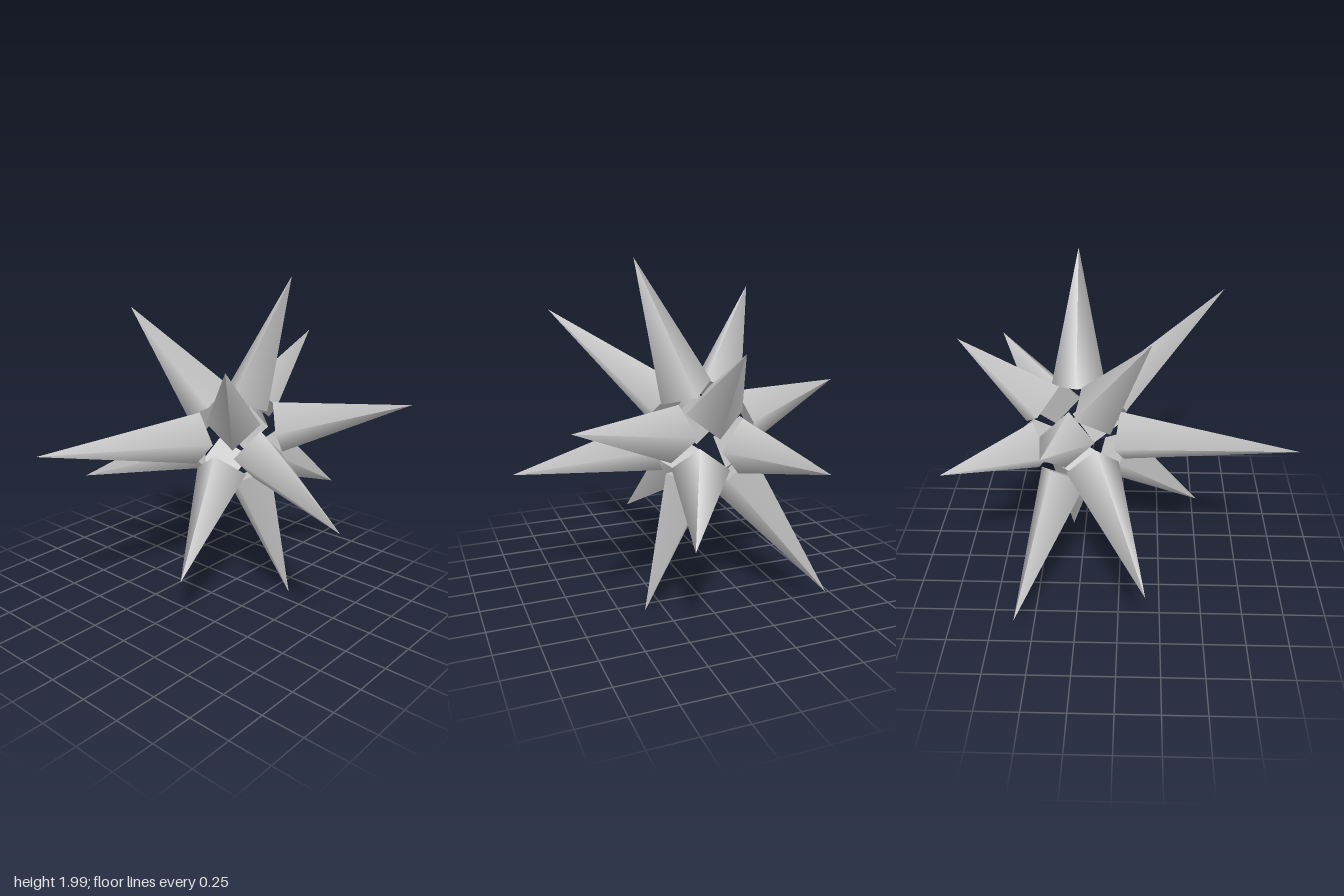
import * as THREE from 'three';

// Spike tip distances from the centre, ordered from top to bottom
const REACH = [1.07, 1.005, 0.885, 1.285, 0.81, 1.08, 1.295, 0.85, 1.12, 1.13, 0.83, 1.015, 1.18, 1.07];
const CENTRE = new THREE.Vector3(-0.025, 1.005, -0.247);
const BASE_DISTANCE = 0.27;
const BASE_RADIUS = 0.16;
const GOLDEN_ANGLE = Math.PI * (3 - Math.sqrt(5));

// Evenly spread directions on a sphere along a golden spiral
function spiralDirection(i, count) {
  const y = 1 - (2 * (i + 0.5)) / count;
  const r = Math.sqrt(1 - y * y);
  const angle = i * GOLDEN_ANGLE;
  return new THREE.Vector3(r * Math.cos(angle), y, r * Math.sin(angle));
}

// Four-sided, smooth-shaded spike: base at z = 0, tip along +z
function spikeGeometry(length) {
  const geometry = new THREE.ConeGeometry(BASE_RADIUS, length, 4);
  geometry.translate(0, length / 2, 0);
  geometry.rotateX(Math.PI / 2);
  return geometry;
}

export function createModel() {
  const model = new THREE.Group();
  model.name = 'spikeBurst';
  const material = new THREE.MeshStandardMaterial({ color: 0xcccccc });

  // Spikes radiating from an empty centre
  REACH.forEach((reach, i) => {
    const direction = spiralDirection(i, REACH.length);
    const spike = new THREE.Mesh(spikeGeometry(reach - BASE_DISTANCE), material);
    spike.name = `spike${i + 1}`;
    spike.position.copy(CENTRE).addScaledVector(direction, BASE_DISTANCE);
    spike.lookAt(spike.position.clone().add(direction));
    model.add(spike);
  });

  return model;
}
